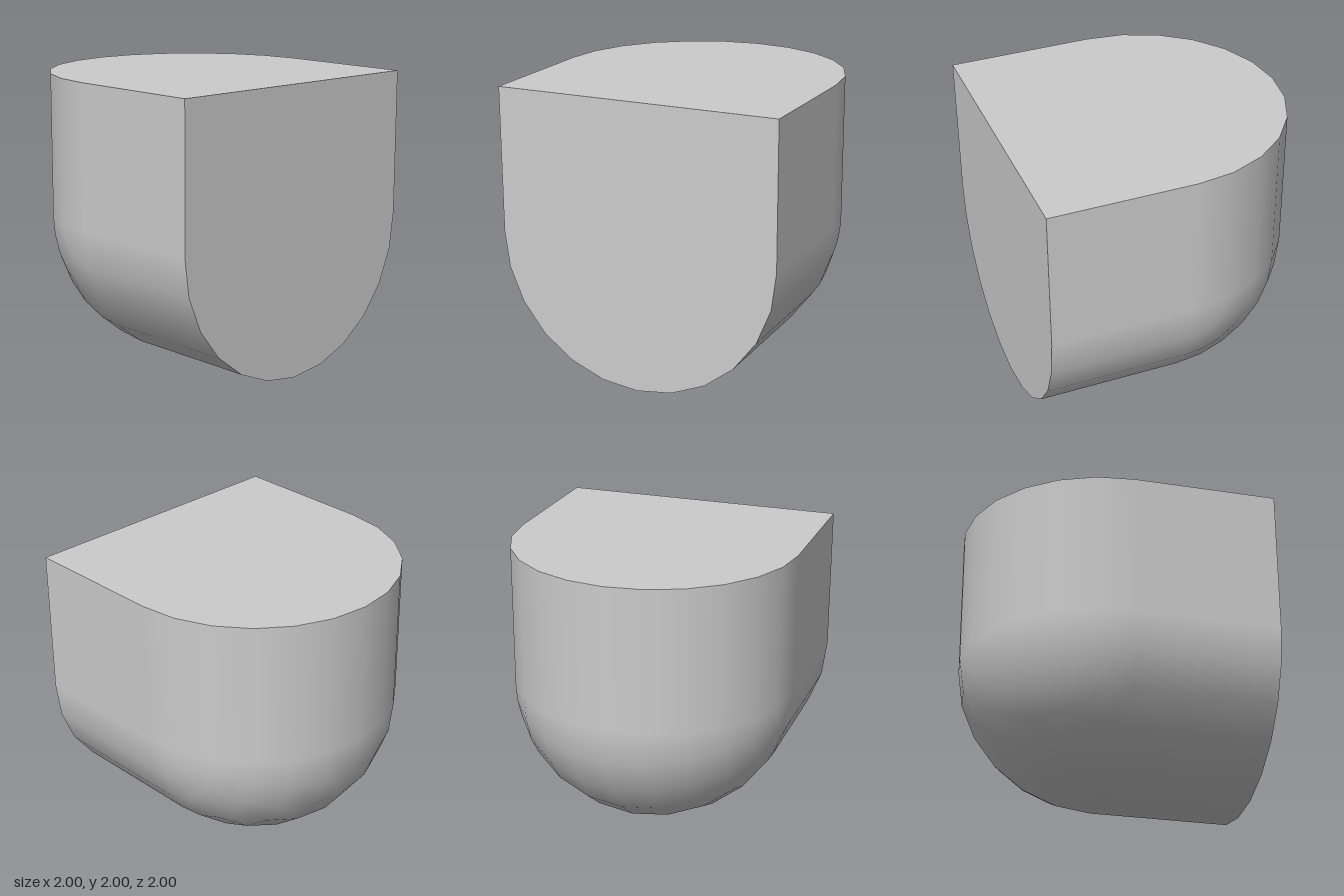
import * as THREE from 'three';

const STEPS = 12; // segments per half circle

// D-shaped end face: half disc of radius 1 joined to a rectangle, facing +z, round side at -x
function endFace() {
  const pts = [new THREE.Vector2(1, -1), new THREE.Vector2(1, 1)];
  for (let i = 0; i <= STEPS; i++) {
    const t = Math.PI * i / STEPS;
    pts.push(new THREE.Vector2(-Math.sin(t), Math.cos(t)));
  }
  return new THREE.ShapeGeometry(new THREE.Shape(pts));
}

// Half circle swept down the upright, round the quarter-turn bend and along to the right end
function sweptSkin() {
  const bend = STEPS / 2;
  const rows = [[0, 1, 0]]; // x shift, y shift, bend angle
  for (let i = 0; i <= bend; i++) rows.push([0, 0, Math.PI / 2 * i / bend]);
  rows.push([1, 0, Math.PI / 2]);

  const pos = [], nor = [], idx = [];
  rows.forEach(([dx, dy, a], r) => {
    for (let j = 0; j <= STEPS; j++) {
      const t = Math.PI * j / STEPS;
      const n = [-Math.cos(a) * Math.sin(t), -Math.sin(a) * Math.sin(t), Math.cos(t)];
      nor.push(...n);
      pos.push(n[0] + dx, n[1] + 1 + dy, n[2]);
      if (r < rows.length - 1 && j < STEPS) {
        const p = r * (STEPS + 1) + j, q = p + STEPS + 1;
        idx.push(p, p + 1, q, p + 1, q + 1, q);
      }
    }
  });
  const g = new THREE.BufferGeometry();
  g.setAttribute('position', new THREE.Float32BufferAttribute(pos, 3));
  g.setAttribute('normal', new THREE.Float32BufferAttribute(nor, 3));
  g.setIndex(idx);
  return g;
}

export function createModel() {
  const group = new THREE.Group();
  group.name = 'roundedCornerBlock';
  const material = new THREE.MeshStandardMaterial({ color: 0xcccccc });
  const add = (name, geometry) => {
    const mesh = new THREE.Mesh(geometry, material);
    mesh.name = name;
    group.add(mesh);
  };

  add('roundedSkin', sweptSkin());
  // flat squares that continue the rounded skin on the front and back
  add('frontFlat', new THREE.PlaneGeometry(1, 1).translate(0.5, 1.5, 1));
  add('backFlat', new THREE.PlaneGeometry(1, 1).rotateY(Math.PI).translate(0.5, 1.5, -1));
  // flat end faces
  add('topFace', endFace().rotateX(-Math.PI / 2).translate(0, 2, 0));
  add('sideFace', endFace().rotateZ(Math.PI / 2).rotateY(Math.PI / 2).translate(1, 1, 0));
  return group;
}
